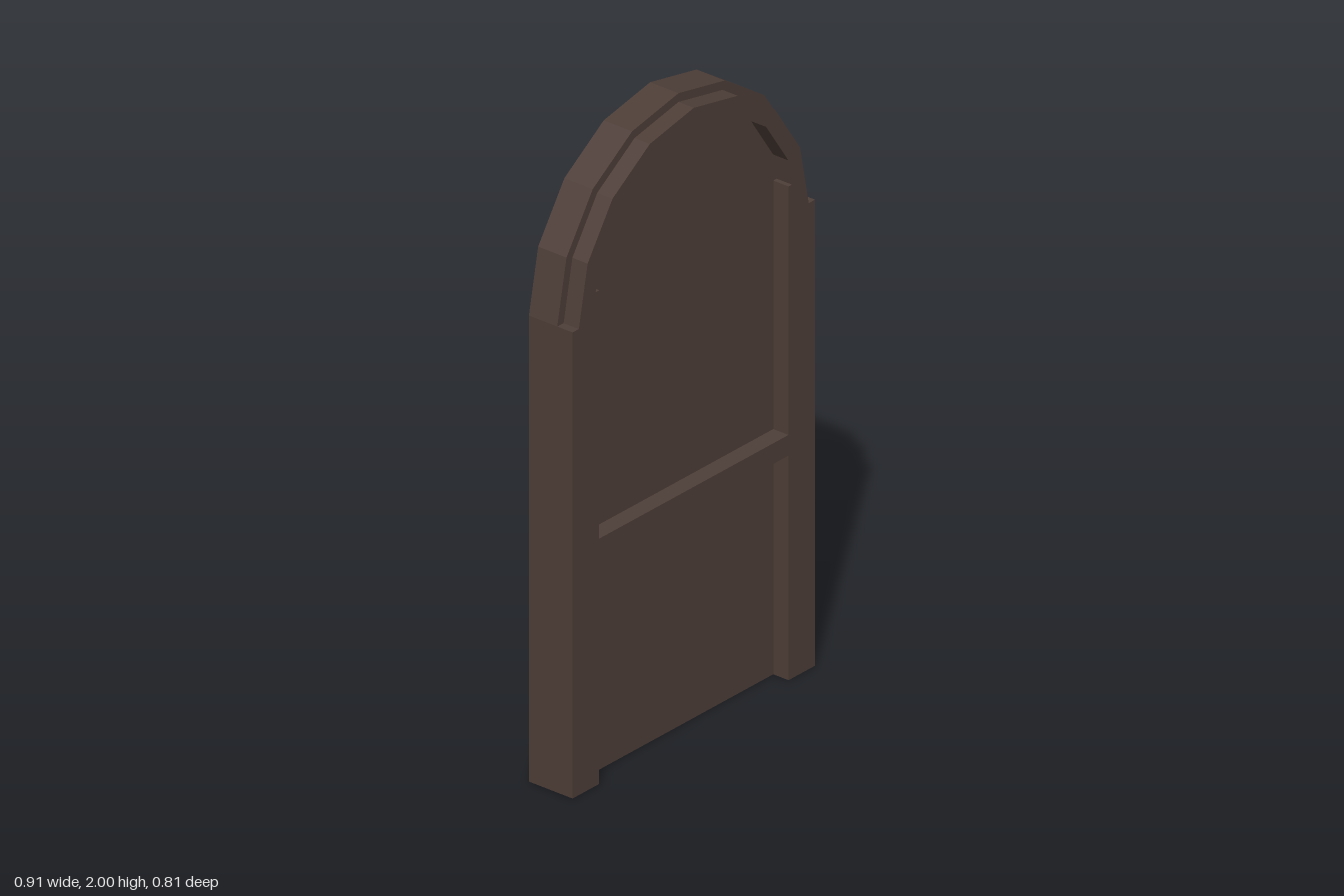
import * as THREE from 'three';

const HALF = 0.5275;     // half width
const SPRING = 1.4725;   // height where the arch begins
const BACK = -0.08, STEP = 0.024, FRONT = 0.08;

// Eight-sided half circle, from left (-x) over the top to right (+x)
function arc(r) {
  return Array.from({ length: 9 }, (_, i) => {
    const a = Math.PI - (i * Math.PI) / 8;
    return new THREE.Vector2(r * Math.cos(a), SPRING + r * Math.sin(a));
  });
}

function slab(points, z0, z1) {
  const geo = new THREE.ExtrudeGeometry(new THREE.Shape(points), { depth: z1 - z0, bevelEnabled: false });
  return geo.translate(0, 0, z0);
}

export function createModel() {
  const wood = new THREE.MeshStandardMaterial({ color: 0x4e3e38 });
  wood.name = 'dark brown wood';
  const model = new THREE.Group();
  model.name = 'archedDoor';
  const v = (x, y) => new THREE.Vector2(x, y);
  const add = (name, geo) => {
    const mesh = new THREE.Mesh(geo, wood);
    mesh.name = name;
    model.add(mesh);
  };

  // Thick arched panel
  add('backPanel', slab([v(-HALF, 0), ...arc(HALF), v(HALF, 0)], BACK, STEP));

  // Raised posts and arch in one outline: outer edge, then inner edge back down
  const inner = 0.412, top = 1.56, joint = 0.427;
  add('frame', slab([
    v(-HALF, 0), v(-HALF, SPRING), ...arc(0.5), v(HALF, SPRING), v(HALF, 0),
    v(inner, 0), v(inner, top), v(joint, top),
    ...arc(0.445).slice(1, -1).reverse(),
    v(-joint, top), v(-inner, top), v(-inner, 0),
  ], STEP, FRONT));

  // Cross rail, flush with the posts
  const rail = new THREE.BoxGeometry(inner * 2, 0.065, FRONT - STEP);
  add('crossRail', rail.translate(0, 0.7425, (STEP + FRONT) / 2));

  // The door stands turned about the vertical axis
  model.rotation.y = 0.705;
  const root = new THREE.Group();
  root.add(model);
  return root;
}
